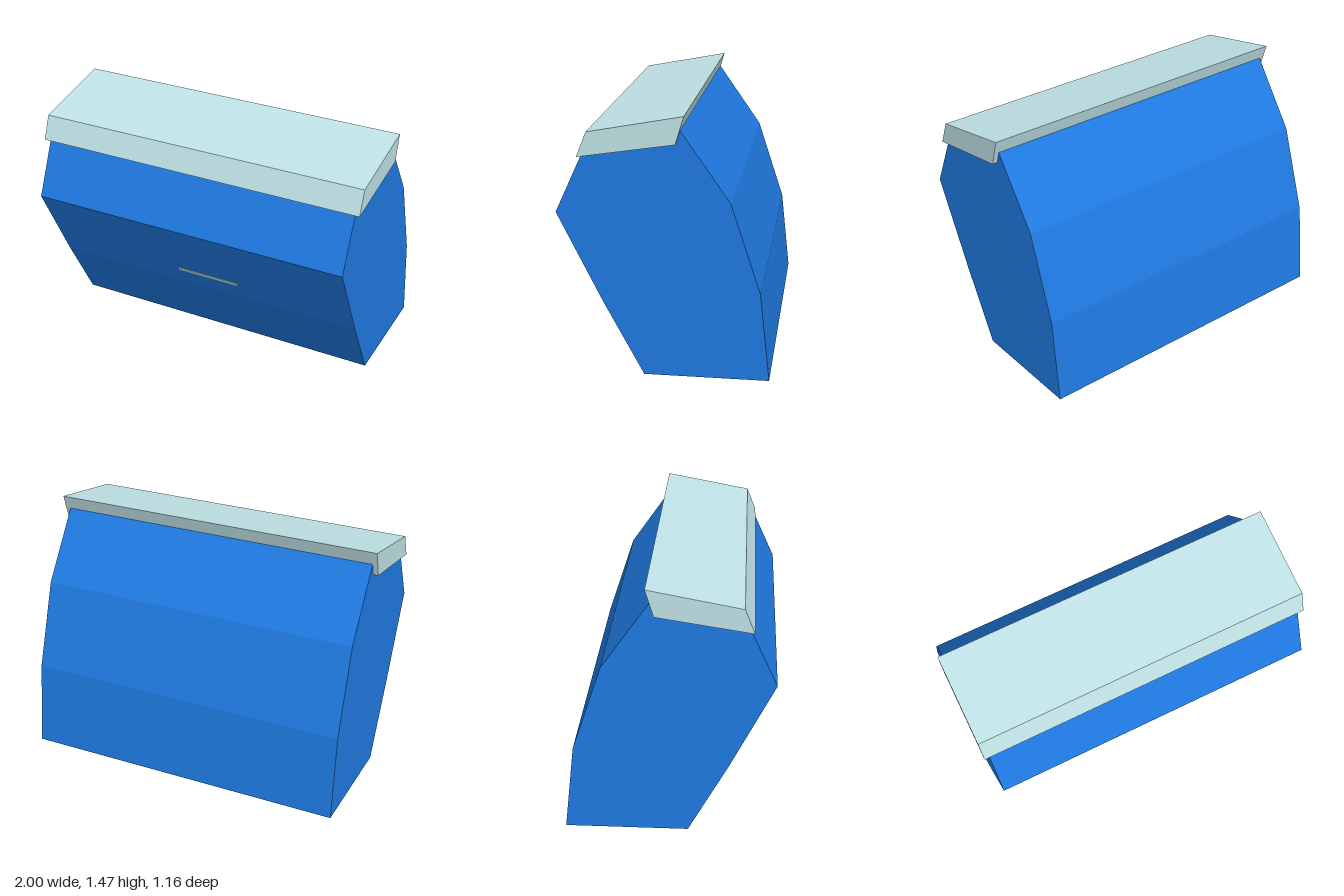
import * as THREE from 'three';

// Extrudes a [z, y] side profile symmetrically across the width
function prism(name, profile, width, color) {
  const shape = new THREE.Shape(profile.map(([z, y]) => new THREE.Vector2(z, y)));
  const geometry = new THREE.ExtrudeGeometry(shape, { depth: width, bevelEnabled: false });
  geometry.translate(0, 0, -width / 2);
  geometry.rotateY(-Math.PI / 2);
  const mesh = new THREE.Mesh(geometry, new THREE.MeshStandardMaterial({ color, flatShading: true }));
  mesh.name = name;
  return mesh;
}

export function createModel() {
  const group = new THREE.Group();
  group.name = 'container';
  const blue = 0x1f7ae2, pale = 0xbfe2e6;

  // Faceted body leaning forward, its top tucked inside the lid
  group.add(prism('body', [
    [0.11, 0], [-0.58, 0], [-0.525, 0.5], [-0.36, 1.0], [-0.09, 1.387],
    [0.41, 1.295], [0.583, 0.917], [0.335, 0.42],
  ], 1.94, blue));

  // Sloping lid, slightly wider than the body
  group.add(prism('lid', [
    [0.457, 1.232], [0.402, 1.369], [-0.116, 1.466], [-0.07, 1.314],
  ], 2, pale));

  // Thin slot strip lying on the overhanging front face
  const strip = new THREE.Mesh(
    new THREE.BoxGeometry(0.39, 0.026, 0.01),
    new THREE.MeshStandardMaterial({ color: pale, flatShading: true }),
  );
  strip.name = 'frontStrip';
  strip.position.set(0.055, 0.54, 0.393);
  strip.rotation.x = Math.atan2(0.248, 0.497);
  group.add(strip);

  return group;
}
